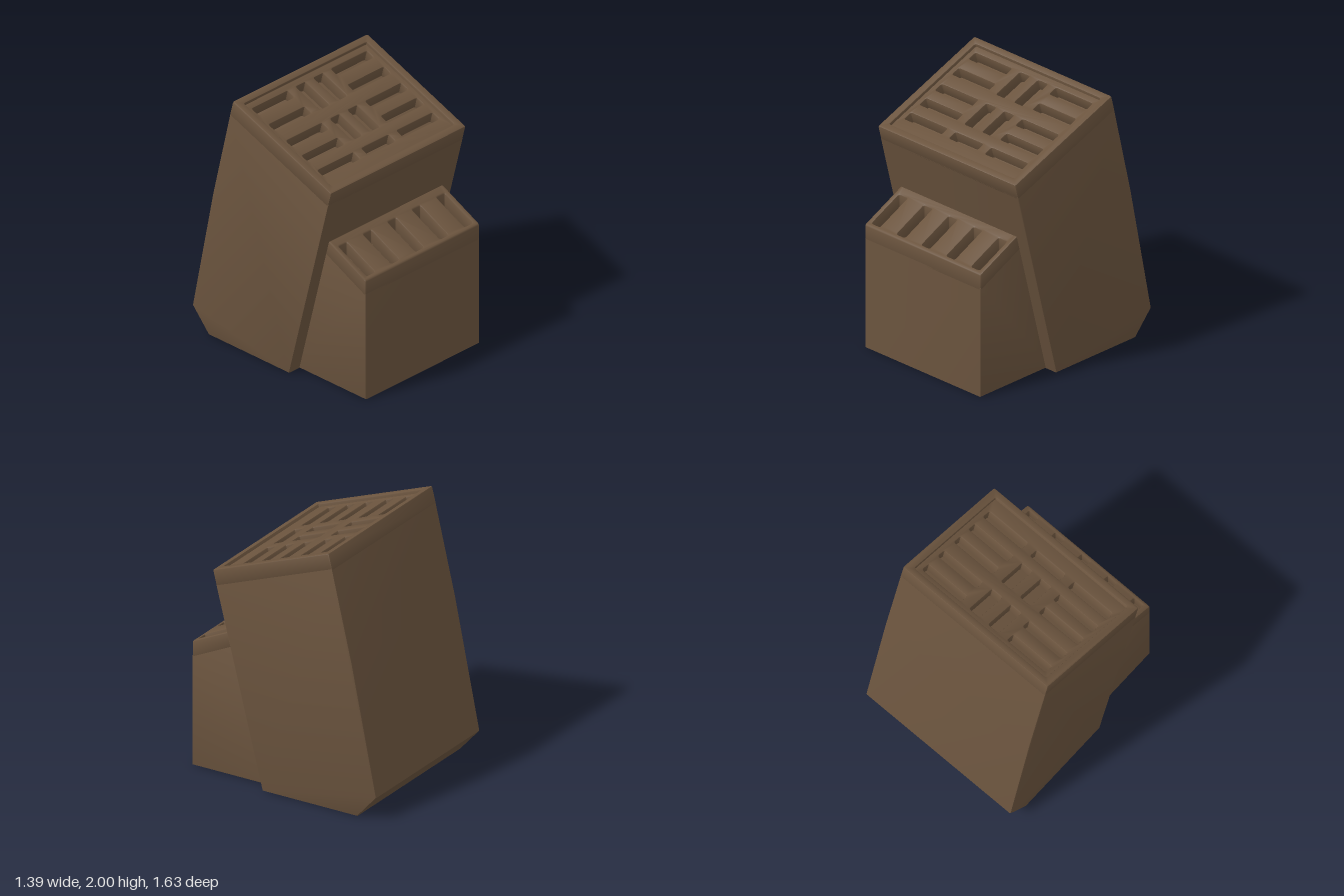
import * as THREE from 'three';
import { toCreasedNormals } from 'three/addons/utils/BufferGeometryUtils.js';

const B = 0.009;      // edge rounding
const CAP = 0.13;     // thickness of the caps the slots are cut in
const FLOOR = 0.11;   // depth of the slot floors

const extrude = (shape, depth) => new THREE.ExtrudeGeometry(shape, {
  depth: depth - 2 * B, bevelEnabled: true, bevelSize: B, bevelThickness: B,
  bevelOffset: -B, bevelSegments: 2, curveSegments: 2,
}).translate(0, 0, B);

// Rounded rectangle, usable as an outline or a hole
function rect(x0, y0, x1, y1, r = 1.5 * B) {
  const s = new THREE.Shape();
  s.moveTo(x0 + r, y0);
  s.lineTo(x1 - r, y0);
  s.quadraticCurveTo(x1, y0, x1, y0 + r);
  s.lineTo(x1, y1 - r);
  s.quadraticCurveTo(x1, y1, x1 - r, y1);
  s.lineTo(x0 + r, y1);
  s.quadraticCurveTo(x0, y1, x0, y1 - r);
  s.lineTo(x0, y0 + r);
  s.quadraticCurveTo(x0, y0, x0 + r, y0);
  return s;
}

// Side profile of [z, y] points extruded across the width
function prism(points, halfWidth) {
  const shape = new THREE.Shape(points.map(([z, y]) => new THREE.Vector2(z, y)));
  return extrude(shape, 2 * halfWidth).translate(0, 0, -halfWidth).rotateY(-Math.PI / 2);
}

// Plate with holes laid on a slope: v runs up the slope, depth runs along 'up'
function slopedPlate(outline, holes, origin, slope, up, top) {
  outline.holes = holes;
  const m = new THREE.Matrix4().makeBasis(new THREE.Vector3(1, 0, 0), slope, up);
  m.setPosition(origin.clone().addScaledVector(up, -CAP));
  return extrude(outline, CAP - top).applyMatrix4(m);
}

export function createModel() {
  const group = new THREE.Group();
  const wood = new THREE.MeshStandardMaterial({ color: 0x6b543e });
  wood.name = 'brown wood';
  const add = (name, geometry) => {
    const mesh = new THREE.Mesh(toCreasedNormals(geometry, 0.7), wood);
    mesh.name = name;
    group.add(mesh);
  };

  // Leaning main body, stopping at the floors of the top slots
  const lean = new THREE.Vector3(0, 1.63, 0.42).normalize();
  const backLean = new THREE.Vector3(0, 0.82, 0.195).normalize();
  const topFront = new THREE.Vector3(0, 1.63, 0.57);
  const topBack = new THREE.Vector3(0, 2.0, -0.41);
  const f = topFront.clone().addScaledVector(lean, -FLOOR);
  const b = topBack.clone().addScaledVector(backLean, -FLOOR);
  add('body', prism([[0.15, 0], [f.z, f.y], [b.z, b.y],
    [-0.605, 1.18], [-0.81, 0.18], [-0.65, 0]], 0.687));

  // Raised rim around the top
  const slope = topBack.clone().sub(topFront);
  const length = slope.length();
  slope.normalize();
  add('topRim', slopedPlate(rect(-0.687, 0, 0.687, length),
    [rect(-0.625, 0.058, 0.625, length - 0.056)], topFront, slope, lean, 0));

  // Recessed top panel with its pattern of slots
  const slot = (x0, x1, z0, z1) =>
    rect(x0, (0.564 - z1) / -slope.z, x1, (0.564 - z0) / -slope.z);
  const slots = [];
  for (const z of [-0.283, -0.115, 0.058, 0.215, 0.37]) {
    for (const x of [-0.403, 0.403]) slots.push(slot(x - 0.182, x + 0.182, z - 0.034, z + 0.034));
  }
  for (const x of [-0.09, 0.09]) {
    slots.push(slot(x - 0.048, x + 0.048, -0.317, -0.075));
    slots.push(slot(x - 0.048, x + 0.048, 0.024, 0.249));
  }
  slots.push(slot(-0.138, 0.138, 0.336, 0.404));
  add('slottedTop', slopedPlate(rect(-0.655, 0.03, 0.655, length - 0.03),
    slots, topFront, slope, lean, 0.025));

  // Front block, its back buried in the body
  add('frontBlock', prism([[0.1, 0], [0.81, 0], [0.81, 0.97 - FLOOR],
    [0.4, 1.166 - FLOOR]], 0.58));

  // Sloped top of the front block with five slots
  const frontSlots = [];
  for (let i = -2; i <= 2; i++) {
    frontSlots.push(rect(i * 0.249 - 0.042, 0.033, i * 0.249 + 0.042, 0.344));
  }
  add('slottedFront', slopedPlate(rect(-0.58, 0, 0.58, 0.465), frontSlots,
    new THREE.Vector3(0, 0.97, 0.81), new THREE.Vector3(0, 0.17, -0.355).normalize(),
    new THREE.Vector3(0, 1, 0), 0));

  group.rotation.y = 0.01;
  return group;
}
